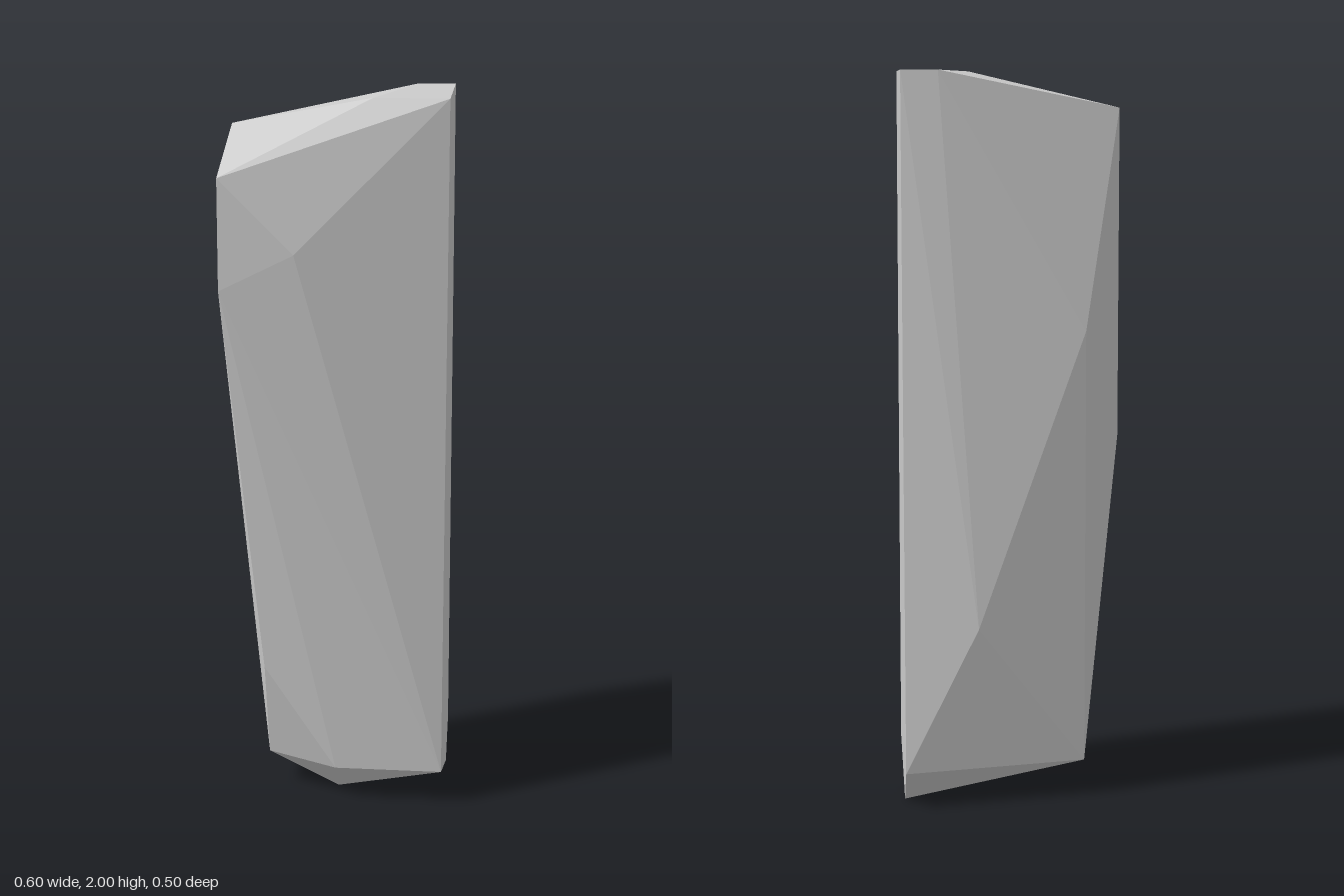
import * as THREE from 'three';
import { ConvexGeometry } from 'three/addons/geometries/ConvexGeometry.js';

// Tall faceted standing stone: the convex hull of its chiselled corners.
export function createModel() {
  const corners = [
    // flat side at x = 0.3
    [0.3, 2, 0.15], [0.3, 2, -0.15], [0.3, 0.1, -0.25], [0.3, 0, -0.15], [0.3, 0.1, 0.15],
    // top edge and sloping shoulder
    [0.1, 2, 0.15], [0.2, 2, -0.15], [-0.3, 1.9, -0.05], [-0.3, 1.8, 0.25],
    // front bulge
    [-0.1, 1.6, 0.25], [-0.3, 1.5, 0.25],
    // tapering lower side
    [-0.3, 1, -0.05], [-0.2, 0.4, 0.15], [-0.2, 0.1, 0.05], [-0.2, 0.1, -0.15],
    // back bulge
    [-0.2, 1.3, -0.15], [0.1, 0.5, -0.25],
    // foot
    [0, 0.1, 0.15], [0, 0, 0.05],
  ].map((c) => new THREE.Vector3(...c));

  const stone = new THREE.Mesh(
    new ConvexGeometry(corners),
    new THREE.MeshStandardMaterial({ color: 0xcccccc, flatShading: true })
  );
  stone.name = 'standingStone';

  const group = new THREE.Group();
  group.name = 'rock';
  group.add(stone);
  return group;
}
